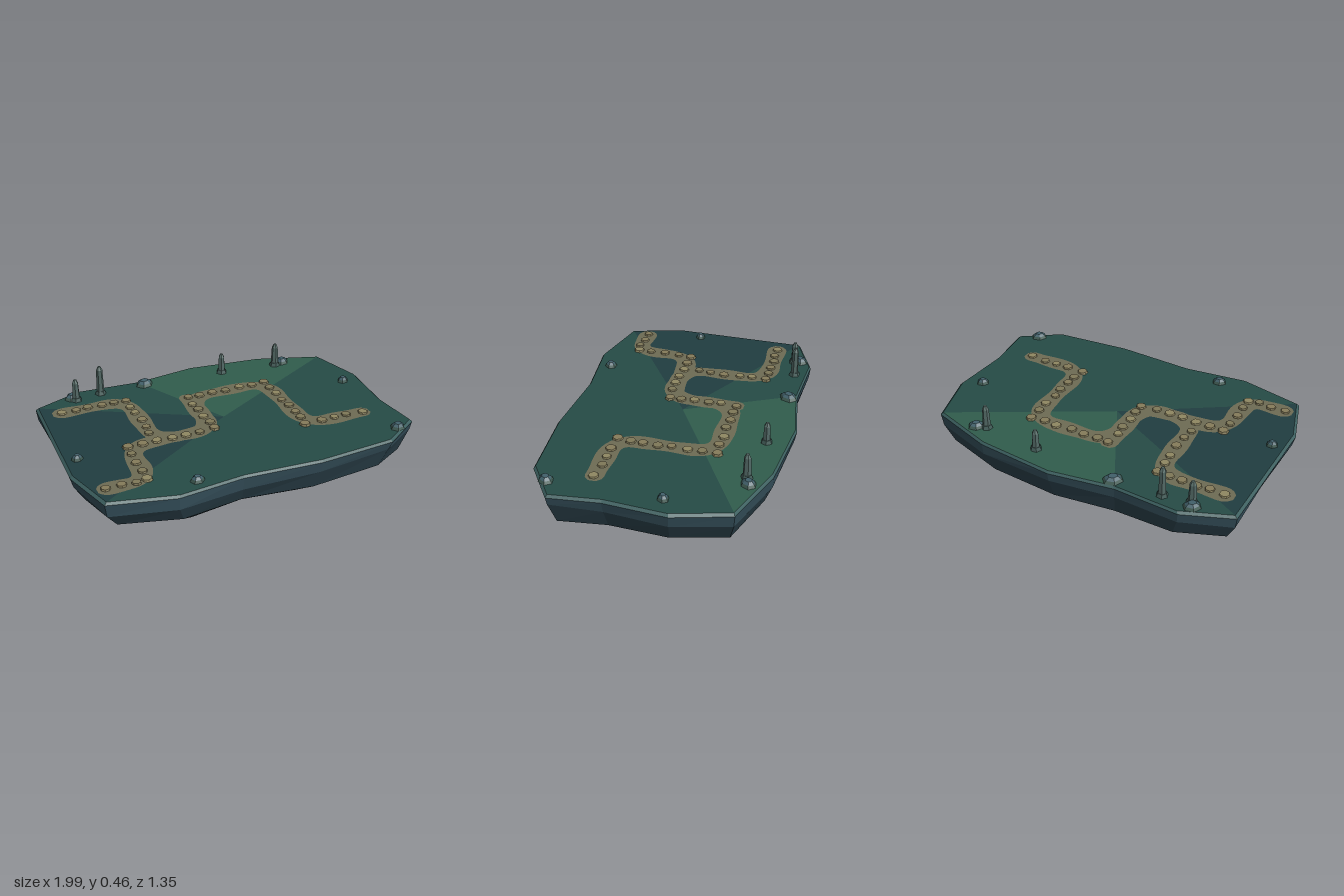
import * as THREE from 'three';

const TOP = 0.272;
const paint = (color, opts = {}) => new THREE.MeshStandardMaterial({ color, flatShading: true, ...opts });

// Small seeded generator for natural irregularity
let seed = 7;
const rand = (a, b) => {
  seed = (seed * 16807) % 2147483647;
  return a + (b - a) * (seed / 2147483647);
};

// Island outline as [x, z], clockwise seen from above, starting at the back right corner
const OUTLINE = [
  [-0.98, -0.54], [-0.70, -0.65], [-0.32, -0.625], [0.06, -0.68], [0.52, -0.63], [0.90, -0.50],
  [0.99, -0.18], [0.96, 0.18], [0.99, 0.47], [0.76, 0.625], [0.30, 0.66], [-0.16, 0.63],
  [-0.54, 0.67], [-0.91, 0.58], [-1.0, 0.27], [-0.99, -0.15],
];

const ring = (scale, y, wobble = 0, rise = 0) => OUTLINE.map(([x, z]) => {
  const s = scale + rand(-wobble, wobble);
  return new THREE.Vector3(x * s, y + rand(0, rise), z * s);
});

function triangles(name, tris, material) {
  const g = new THREE.BufferGeometry().setFromPoints(tris.flat());
  g.computeVertexNormals();
  const m = new THREE.Mesh(g, material);
  m.name = name;
  return m;
}

// Band of facets between an upper and a lower ring
function band(name, upper, lower, color) {
  const tris = [];
  upper.forEach((a, i) => {
    const j = (i + 1) % upper.length;
    tris.push([a, upper[j], lower[j]], [a, lower[j], lower[i]]);
  });
  return triangles(name, tris, paint(color));
}

// Wedges of a fan about the centre, from outline point `from` to `to`
function fan(name, points, from, to, y, color, up = true) {
  const c = new THREE.Vector3(0, y, 0), tris = [];
  for (let i = from; i < to; i++) {
    const a = points[i % points.length], b = points[(i + 1) % points.length];
    tris.push(up ? [c, b, a] : [c, a, b]);
  }
  return triangles(name, tris, paint(color));
}

function createIsland() {
  const island = new THREE.Group();
  island.name = 'island';
  const cap = ring(0.985, TOP);
  const rim = ring(1, 0.258);
  const shoulder = ring(0.985, 0.175, 0.008, 0.04);
  const belly = ring(0.93, 0.065, 0.012, 0.03);
  const base = ring(0.745, 0, 0.02, 0.01);
  base[13].y = 0;
  island.add(
    fan('grassBack', cap, 0, 2, TOP, 0x264b46),
    fan('grassLight', cap, 2, 5, TOP, 0x305c4c),
    fan('grassFront', cap, 5, 13, TOP, 0x264b46),
    fan('grassDark', cap, 13, 16, TOP, 0x203d40),
    band('rim', cap, rim, 0x3c5f5f),
    band('upperRock', rim, shoulder, 0x334d58),
    band('middleRock', shoulder, belly, 0x2a3f49),
    band('lowerRock', belly, base, 0x1d2a31),
    fan('underside', base, 0, 16, 0.012, 0x151e23, false),
  );
  return island;
}

// Corner points of the two trails, [x, z]; they share the stretch to the left end
const SHARED = [[-0.11, 0.11], [-0.11, -0.29], [0.40, -0.29], [0.40, 0.28], [0.76, 0.28]];
const BACK_TRAIL = [[-0.86, -0.41], [-0.46, -0.41], [-0.46, 0.11]];
const FRONT_TRAIL = [[-0.86, 0.46], [-0.63, 0.46], [-0.63, 0.11]];

// Flat dirt ribbon with rounded corners and rounded ends
function createRibbon(name, corners, y) {
  const pts = corners.map(([x, z]) => new THREE.Vector2(x, z));
  const path = new THREE.CurvePath();
  let last = pts[0].clone().add(pts[0].clone().sub(pts[1]).setLength(0.05));
  const end = pts.at(-1).clone().add(pts.at(-1).clone().sub(pts.at(-2)).setLength(0.05));
  for (let i = 1; i < pts.length - 1; i++) {
    const p = pts[i], r = 0.15;
    const toward = (q) => p.clone().add(q.clone().sub(p).setLength(Math.min(r, q.distanceTo(p) * 0.48)));
    const a = toward(pts[i - 1]), b = toward(pts[i + 1]);
    path.add(new THREE.LineCurve(last, a));
    path.add(new THREE.QuadraticBezierCurve(a, p, b));
    last = b;
  }
  path.add(new THREE.LineCurve(last, end));

  const length = path.getLength(), n = 120, pairs = [], tris = [];
  for (let i = 0; i <= n; i++) {
    const u = i / n, p = path.getPointAt(u), t = path.getTangentAt(u);
    const d = Math.min(1, (Math.min(u, 1 - u) * length) / 0.06);
    const w = (0.056 + 0.005 * Math.sin(u * length * 22)) * Math.sqrt(1 - (1 - d) ** 2 * 0.85);
    pairs.push([1, -1].map((s) => new THREE.Vector3(p.x - t.y * w * s, y, p.y + t.x * w * s)));
  }
  for (let i = 0; i < n; i++) {
    const [a, b] = pairs[i], [c, d] = pairs[i + 1];
    tris.push([a, c, b], [b, c, d]);
  }
  return triangles(name, tris, paint(0x6e6b54, { side: THREE.DoubleSide }));
}

// Stepping stones laid evenly along the straight legs
function createStones(corners) {
  const stones = new THREE.Group();
  stones.name = 'steppingStones';
  const colors = [0x7f7858, 0x8f8762, 0x857c5a].map((c) => paint(c));
  for (let i = 0; i < corners.length - 1; i++) {
    const [x0, z0] = corners[i], [x1, z1] = corners[i + 1];
    const count = Math.max(1, Math.round(Math.hypot(x1 - x0, z1 - z0) / 0.085));
    for (let k = i ? 1 : 0; k <= count; k++) {
      const r = rand(0.028, 0.034);
      const s = new THREE.Mesh(new THREE.CylinderGeometry(r * 0.85, r, 0.014, 7), colors[Math.floor(rand(0, 3))]);
      const t = k / count;
      s.position.set(x0 + (x1 - x0) * t + rand(-0.01, 0.01), TOP + 0.006, z0 + (z1 - z0) * t + rand(-0.01, 0.01));
      s.rotation.y = rand(0, 6);
      s.name = 'steppingStone';
      stones.add(s);
    }
  }
  return stones;
}

// Standing stone: footing, tapered shaft and blunt tip
function createPillar(x, z, top) {
  const pillar = new THREE.Group();
  pillar.name = 'standingStone';
  const h = top - TOP;
  const part = (name, r1, r0, y0, y1, color) => {
    const m = new THREE.Mesh(new THREE.CylinderGeometry(r1, r0, y1 - y0, 6), paint(color));
    m.position.y = (y0 + y1) / 2;
    m.name = name;
    pillar.add(m);
  };
  part('footing', 0.026, 0.034, 0, 0.022, 0x435c58);
  part('shaft', 0.019, 0.023, 0.02, h - 0.022, 0x526865);
  part('tip', 0.009, 0.019, h - 0.022, h, 0x5b716d);
  pillar.position.set(x, TOP, z);
  pillar.rotation.y = rand(0, 1);
  return pillar;
}

// Low boulder: sloped skirt with a smaller faceted crown
function createBoulder(x, z, r) {
  const boulder = new THREE.Group();
  boulder.name = 'boulder';
  const skirt = new THREE.Mesh(new THREE.CylinderGeometry(r * 0.8, r, 0.016, 6), paint(0x3f5a52));
  skirt.position.y = 0.008;
  skirt.name = 'boulderSkirt';
  const crown = new THREE.Mesh(new THREE.CylinderGeometry(r * 0.45, r * 0.8, 0.014, 6), paint(0x41606a));
  crown.position.y = 0.023;
  crown.name = 'boulderCrown';
  boulder.add(skirt, crown);
  boulder.position.set(x, TOP, z);
  boulder.rotation.y = Math.PI / 6 + rand(-0.2, 0.2);
  boulder.scale.z = 0.85;
  return boulder;
}

export function createModel() {
  const model = new THREE.Group();
  model.name = 'floatingIsland';
  model.add(createIsland());
  model.add(createRibbon('backTrail', [...BACK_TRAIL, ...SHARED], TOP + 0.004));
  model.add(createRibbon('frontTrail', [...FRONT_TRAIL, SHARED[0], SHARED[1], [-0.11, -0.29]].slice(0, 5), TOP + 0.003));
  model.add(createStones([...BACK_TRAIL]), createStones([...FRONT_TRAIL, ...SHARED]));

  for (const p of [[-0.73, -0.54, 0.41], [-0.57, -0.565, 0.455], [0.22, -0.535, 0.40], [0.575, -0.495, 0.42]]) {
    model.add(createPillar(...p));
  }
  for (const b of [
    [-0.745, -0.575, 0.052], [-0.285, -0.575, 0.06], [0.635, -0.515, 0.05], [0.865, -0.12, 0.038],
    [0.86, 0.515, 0.05], [-0.40, 0.57, 0.043], [-0.915, 0.115, 0.035],
  ]) {
    model.add(createBoulder(...b));
  }
  return model;
}
